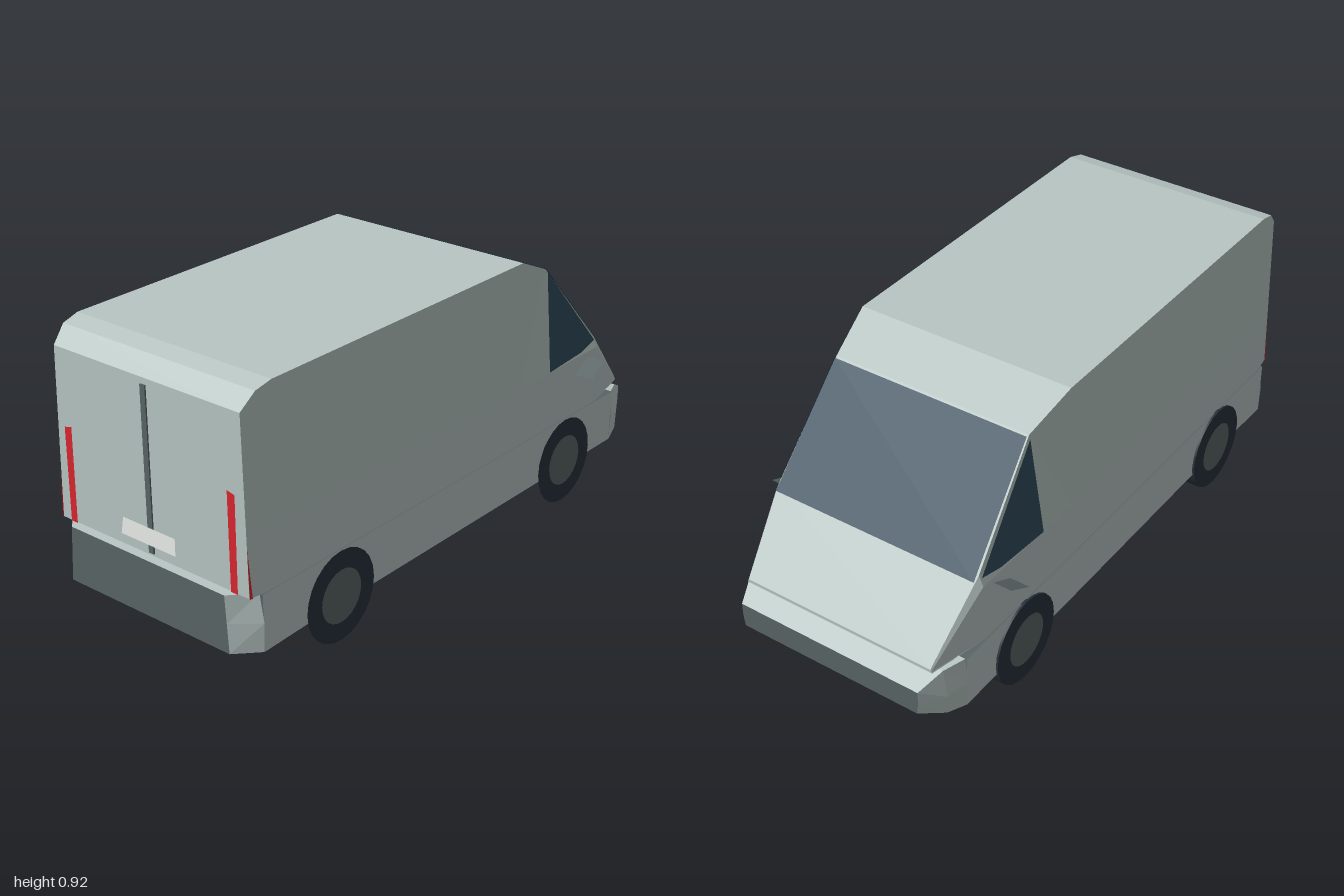
import * as THREE from 'three';

const mat = (name, color) => {
  const m = new THREE.MeshStandardMaterial({ color, side: THREE.DoubleSide });
  m.name = name;
  return m;
};

export function createModel() {
  const van = new THREE.Group();
  van.name = 'van';
  const paint = mat('body paint', 0xb8c6c3);
  const trim = mat('dark grey trim', 0x5a6566);
  const glass = mat('window glass', 0x2f4a5b);
  const rubber = mat('tyre rubber', 0x27313b);
  const red = mat('red lamp', 0xd8262f);
  const white = mat('number plate white', 0xe4e8e4);

  const add = (name, geo, material, parent = van) => {
    const mesh = new THREE.Mesh(geo, material);
    mesh.name = name;
    parent.add(mesh);
    return mesh;
  };

  // Flat polygon from corner points, fanned from the first
  const panel = (name, pts, material) => {
    const pos = [];
    for (let i = 1; i < pts.length - 1; i++) pos.push(...pts[0], ...pts[i], ...pts[i + 1]);
    const g = new THREE.BufferGeometry();
    g.setAttribute('position', new THREE.Float32BufferAttribute(pos, 3));
    g.computeVertexNormals();
    return add(name, g, material);
  };
  const flip = (pts) => pts.map(([x, y, z]) => [-x, y, z]).reverse();

  // Symmetric loft: each station is [z, [halfWidth, y] from bottom to top], rear first.
  // Group 0 = skin, 1 = underside, 2 = rear cap, 3 = nose cap
  const loft = (name, stations, materials) => {
    const rings = stations.map(([z, ...half]) => [
      ...half.map(([x, y]) => [x, y, z]),
      ...half.map(([x, y]) => [-x, y, z]).reverse(),
    ]);
    const count = rings[0].length, n = count / 2;
    const parts = [[], [], [], []];
    for (let i = 0; i < rings.length - 1; i++) {
      for (let j = 0; j < count; j++) {
        const k = (j + 1) % count;
        const a = rings[i][j], b = rings[i][k], c = rings[i + 1][k], d = rings[i + 1][j];
        const tris = j < n ? [a, d, c, a, c, b] : [a, d, b, d, c, b];
        parts[j === count - 1 ? 1 : 0].push(...tris);
      }
    }
    const first = rings[0], last = rings[rings.length - 1];
    for (let j = 1; j < count - 1; j++) {
      parts[2].push(first[0], first[j], first[j + 1]);
      parts[3].push(last[0], last[j + 1], last[j]);
    }
    const g = new THREE.BufferGeometry();
    g.setAttribute('position', new THREE.Float32BufferAttribute(parts.flat(2), 3));
    let start = 0;
    parts.forEach((p, i) => {
      g.addGroup(start, p.length, i);
      start += p.length;
    });
    g.computeVertexNormals();
    return add(name, g, materials);
  };

  // Upper shell: cargo box, sloping windscreen and bonnet
  loft('upperBody', [
    [0.97, [0.38, 0.3], [0.375, 0.5], [0.365, 0.86]],
    [0.92, [0.388, 0.3], [0.388, 0.5], [0.376, 0.91]],
    [0.86, [0.39, 0.3], [0.39, 0.5], [0.38, 0.925]],
    [-0.3, [0.39, 0.3], [0.39, 0.5], [0.38, 0.925]],
    [-0.47, [0.39, 0.3], [0.388, 0.5], [0.35, 0.85]],
    [-0.75, [0.388, 0.3], [0.385, 0.5], [0.37, 0.535]],
    [-0.95, [0.345, 0.3], [0.343, 0.305], [0.34, 0.312]],
  ], [paint, trim, paint, paint]);

  // Sill section with wheel tunnels running right across
  const wheelZ = [0.605, -0.555], wheelY = 0.152, wheelR = 0.15;
  const side = new THREE.Shape();
  side.moveTo(-0.85, 0.3);
  side.lineTo(-0.85, 0.12);
  const tunnelR = 0.14, dip = Math.asin((0.12 - wheelY) / tunnelR);
  for (const z of [...wheelZ].reverse()) {
    for (let i = 0; i <= 8; i++) {
      const t = Math.PI - dip + (2 * dip - Math.PI) * (i / 8);
      side.lineTo(z + tunnelR * Math.cos(t), wheelY + tunnelR * Math.sin(t));
    }
  }
  side.lineTo(0.93, 0.115);
  side.lineTo(0.93, 0.3);
  const sill = new THREE.ExtrudeGeometry(side, { depth: 0.786, bevelEnabled: false });
  sill.translate(0, 0, -0.393);
  sill.rotateY(-Math.PI / 2);
  add('sill', sill, [paint, trim]);

  // Bumpers with cut corners
  loft('rearBumper', [
    [1, [0.325, 0.115], [0.318, 0.21], [0.312, 0.3]],
    [0.93, [0.392, 0.115], [0.396, 0.21], [0.38, 0.302]],
  ], [paint, trim, trim, trim]);
  loft('noseBumper', [
    [-0.85, [0.393, 0.12], [0.396, 0.21], [0.39, 0.302]],
    [-0.92, [0.372, 0.133], [0.375, 0.2], [0.362, 0.295]],
    [-1, [0.325, 0.17], [0.33, 0.21], [0.33, 0.255]],
  ], [paint, trim, trim, trim]);

  // Windscreen
  const screen = [[0.348, 0.848, -0.479], [0.366, 0.521, -0.77]];
  panel('windscreen', [screen[0], screen[1], ...flip(screen)], glass);

  // Side windows, lying on the sloping cab side
  const onCab = (y, z) => [0.394 - 0.1086 * (y - 0.5) + 0.0525 * (z + 0.47), y, z];
  const pane = [onCab(0.505, -0.457), onCab(0.508, -0.66), onCab(0.525, -0.745), onCab(0.84, -0.474)];
  panel('leftWindow', pane, glass);
  panel('rightWindow', flip(pane), glass);

  // Thin tilted mirrors
  const mirror = [[0.38, 0.44, -0.62], [0.455, 0.44, -0.62], [0.447, 0.48, -0.7], [0.38, 0.48, -0.7]];
  panel('leftMirror', mirror, trim);
  panel('rightMirror', flip(mirror), trim);

  // Tail lamps with a small side strip
  const lamp = [[0.314, 0.3, 0.974], [0.34, 0.3, 0.974], [0.34, 0.61, 0.974], [0.311, 0.617, 0.974]];
  const strip = [[0.383, 0.3, 0.972], [0.385, 0.3, 0.962], [0.378, 0.46, 0.972]];
  panel('leftLamp', lamp, red);
  panel('rightLamp', flip(lamp), red);
  panel('leftLampStrip', strip, red);
  panel('rightLampStrip', flip(strip), red);

  // Door seam and number plate
  const seam = add('doorSeam', new THREE.BoxGeometry(0.02, 0.53, 0.006), trim);
  seam.position.set(0, 0.575, 0.972);
  panel('numberPlate', [[-0.11, 0.343, 0.985], [0.11, 0.343, 0.985], [0.105, 0.396, 0.98], [-0.105, 0.396, 0.98]], white);

  // Wheels: full cylinders on the right, flat discs on the left
  for (const z of wheelZ) {
    for (const s of [1, -1]) {
      const wheel = new THREE.Group();
      wheel.name = s > 0 ? 'leftWheel' : 'rightWheel';
      wheel.position.set(s * 0.4, wheelY, z);
      wheel.rotation.y = s * Math.PI / 2;
      van.add(wheel);
      if (s > 0) {
        add('tyre', new THREE.CircleGeometry(wheelR, 24), rubber, wheel);
      } else {
        const tyre = new THREE.CylinderGeometry(wheelR, wheelR, 0.07, 24);
        tyre.rotateX(Math.PI / 2);
        tyre.translate(0, 0, -0.035);
        add('tyre', tyre, rubber, wheel);
      }
      add('hub', new THREE.CircleGeometry(0.088, 24), trim, wheel).position.z = 0.002;
    }
  }

  return van;
}
